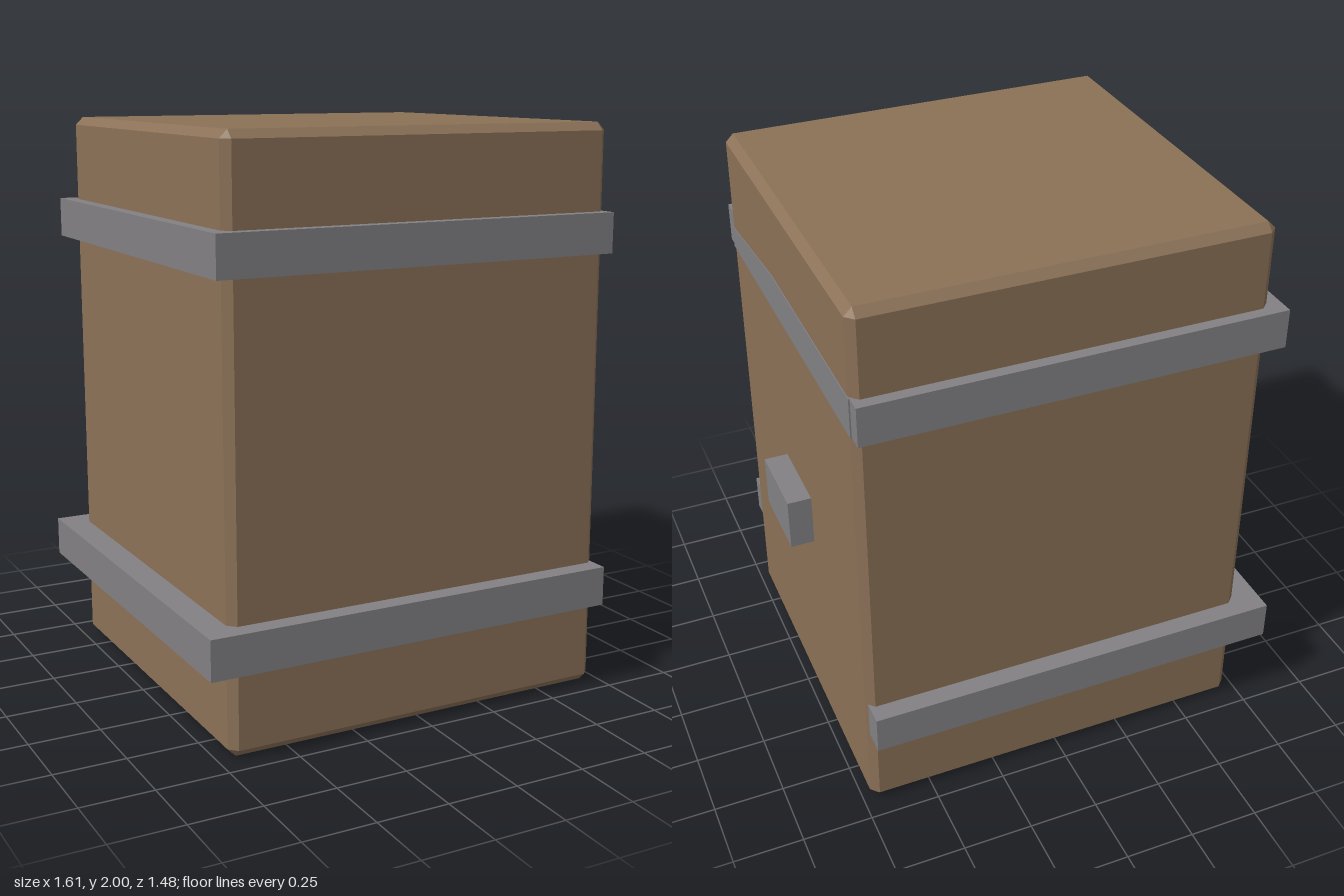
import * as THREE from 'three';
import { ConvexGeometry } from 'three/addons/geometries/ConvexGeometry.js';

export function createModel() {
  const model = new THREE.Group();
  model.name = 'strappedCrate';
  const wood = new THREE.MeshStandardMaterial({ color: 0x8b7157 });
  wood.name = 'brown wood';
  const metal = new THREE.MeshStandardMaterial({ color: 0x828083 });
  metal.name = 'grey metal';

  const add = (name, geometry, material) => {
    const mesh = new THREE.Mesh(geometry, material);
    mesh.name = name;
    model.add(mesh);
    return mesh;
  };

  // Box given by its low and high limits on each axis
  const addBox = (name, [x0, x1], [y0, y1], [z0, z1], material) => {
    const mesh = add(name, new THREE.BoxGeometry(x1 - x0, y1 - y0, z1 - z0), material);
    mesh.position.set((x0 + x1) / 2, (y0 + y1) / 2, (z0 + z1) / 2);
  };

  // Chamfered body, its right side leaning out slightly at the foot
  const bevel = 0.028;
  const points = [];
  for (const sx of [-1, 1]) for (const sy of [0, 1]) for (const sz of [-1, 1]) {
    const x = sx < 0 ? -0.71 : sy ? 0.713 : 0.721;
    const y = sy * 2, z = sz * 0.675;
    const dx = sx * bevel, dy = (sy ? 1 : -1) * bevel, dz = sz * bevel;
    points.push(
      new THREE.Vector3(x, y - dy, z - dz),
      new THREE.Vector3(x - dx, y, z - dz),
      new THREE.Vector3(x - dx, y - dy, z)
    );
  }
  add('body', new ConvexGeometry(points), wood);

  // Straps wrapping the front, left and back
  addBox('upperStrap', [-0.757, 0.712], [1.56, 1.7], [-0.716, 0.719], metal);
  addBox('lowerStrap', [-0.805, 0.711], [0.31, 0.45], [-0.742, 0.742], metal);

  // Upper strap's thin face on the right side, cut off at a slant near the front
  const slant = new THREE.Shape([
    [-0.66, 1.56], [0.66, 1.56], [0.66, 1.7], [-0.15, 1.7], [-0.66, 1.64]
  ].map(([a, b]) => new THREE.Vector2(a, b)));
  const face = add('upperStrapRightFace',
    new THREE.ExtrudeGeometry(slant, { depth: 0.005, bevelEnabled: false }), metal);
  face.rotation.y = Math.PI / 2;
  face.position.x = 0.712;

  // Latch block
  addBox('latch', [0.69, 0.802], [0.78, 0.97], [-0.14, 0.145], metal);
  return model;
}
